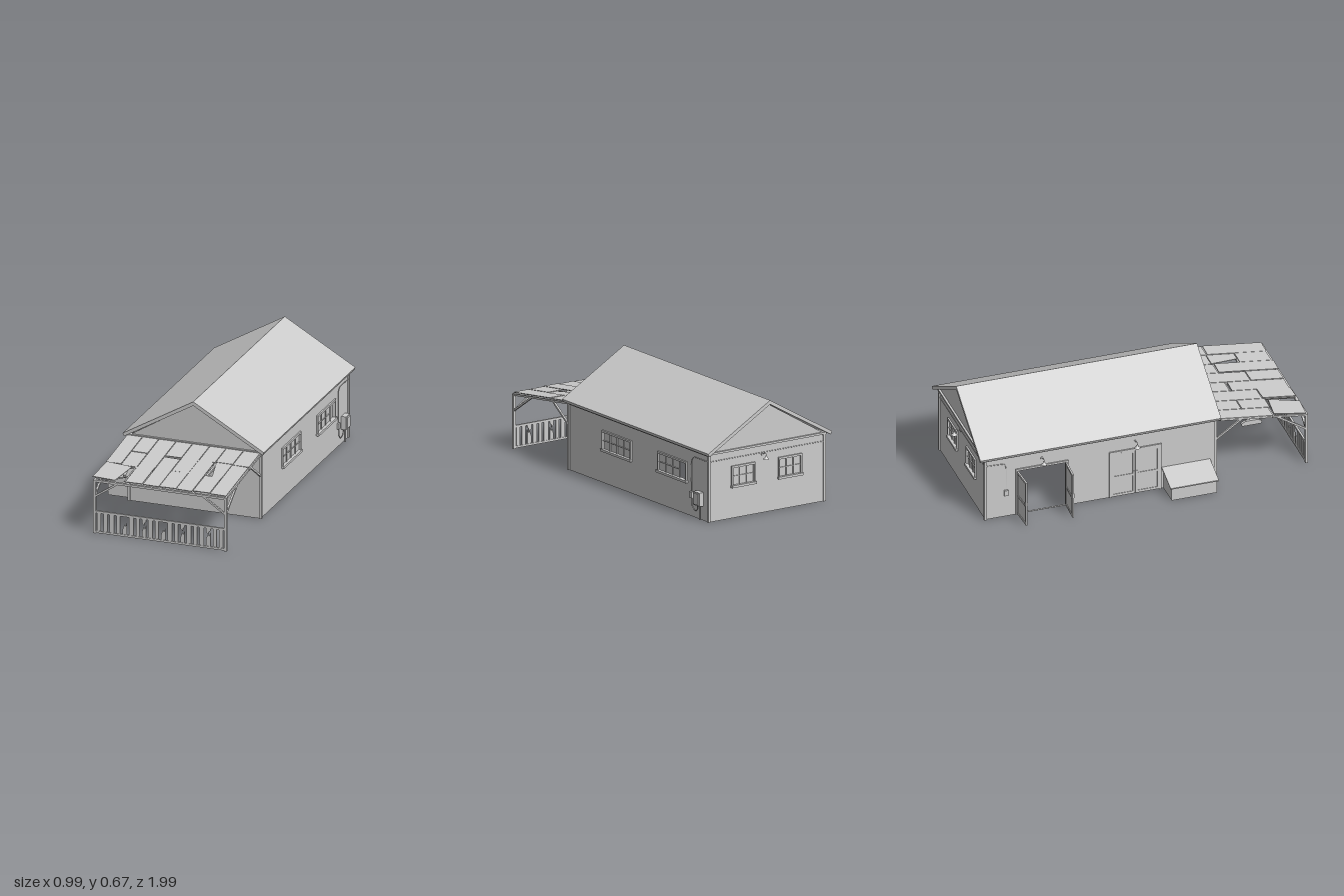
import * as THREE from 'three';

const mat = new THREE.MeshStandardMaterial({ color: 0xcccccc, flatShading: true, side: THREE.DoubleSide });
const smooth = new THREE.MeshStandardMaterial({ color: 0xcccccc, side: THREE.DoubleSide });

function add(parent, name, geo, x = 0, y = 0, z = 0, m = mat) {
  const mesh = new THREE.Mesh(geo, m);
  mesh.name = name;
  mesh.position.set(x, y, z);
  parent.add(mesh);
  return mesh;
}

// Box given by its min and max corners
function box(parent, name, x0, x1, y0, y1, z0, z1) {
  return add(parent, name, new THREE.BoxGeometry(x1 - x0, y1 - y0, z1 - z0), (x0 + x1) / 2, (y0 + y1) / 2, (z0 + z1) / 2);
}

// Square bar between two points
function bar(parent, name, a, b, t) {
  const p = new THREE.Vector3(...a), q = new THREE.Vector3(...b);
  const m = add(parent, name, new THREE.BoxGeometry(t, t, p.distanceTo(q)));
  m.position.copy(p).add(q).multiplyScalar(0.5);
  m.lookAt(q);
  return m;
}

function tube(parent, name, pts, r) {
  const path = new THREE.CatmullRomCurve3(pts.map(p => new THREE.Vector3(...p)), false, 'catmullrom', 0.2);
  return add(parent, name, new THREE.TubeGeometry(path, 24, r, 6), 0, 0, 0, smooth);
}

function extrude(points, depth, holes = []) {
  const shape = new THREE.Shape(points.map(p => new THREE.Vector2(...p)));
  for (const [a, b, c, d] of holes)
    shape.holes.push(new THREE.Path([[a, c], [a, d], [b, d], [b, c]].map(p => new THREE.Vector2(...p))));
  return new THREE.ExtrudeGeometry(shape, { depth, bevelEnabled: false });
}

// Wall in its own frame: u across, v up, outer face at w = 0
function wall(parent, name, points, holes, angle, x, z) {
  const g = new THREE.Group();
  g.name = name;
  g.rotation.y = angle;
  g.position.set(x, 0, z);
  parent.add(g);
  add(g, 'wallPanel', extrude(points, 0.012, holes), 0, 0, -0.012);
  return g;
}

function windowUnit(parent, [a, b, c, d], cols, missing = -1) {
  const g = new THREE.Group();
  g.name = 'window';
  parent.add(g);
  const f = 0.009, cell = (b - a) / cols, mid = (c + d) / 2;
  box(g, 'windowHead', a - f, b + f, d, d + f + 0.003, -0.008, 0.009);
  box(g, 'windowSill', a - f - 0.004, b + f + 0.004, c - 0.014, c, -0.008, 0.016);
  box(g, 'windowJamb', a - f, a, c, d, -0.008, 0.009);
  box(g, 'windowJamb', b, b + f, c, d, -0.008, 0.009);
  for (let i = 0; i < cols; i++) {
    const u = a + i * cell;
    if (i) box(g, 'mullion', u - 0.002, u + 0.002, c, d, -0.006, 0.003);
    if (i === missing) continue;
    box(g, 'glass', u, u + cell, c, d, -0.006, -0.003);
    box(g, 'glazingBar', u, u + cell, mid - 0.002, mid + 0.002, -0.006, 0.003);
  }
}

// Gooseneck lamp standing out from a wall
function lamp(parent, u, v) {
  const g = new THREE.Group();
  g.name = 'wallLamp';
  g.position.set(u, v, 0);
  parent.add(g);
  const plate = add(g, 'lampPlate', new THREE.CylinderGeometry(0.008, 0.008, 0.005, 12), 0, 0.01, 0.002, smooth);
  plate.rotation.x = Math.PI / 2;
  tube(g, 'lampArm', [[0, 0.01, 0], [0, 0.014, 0.015], [0, 0.024, 0.03], [0, 0.02, 0.04], [0, 0.008, 0.04]], 0.0018);
  const profile = [[0.003, 0.01], [0.006, 0.006], [0.008, -0.002], [0.018, -0.011]].map(p => new THREE.Vector2(...p));
  add(g, 'lampShade', new THREE.LatheGeometry(profile, 16), 0, 0, 0.04, smooth);
  add(g, 'bulb', new THREE.SphereGeometry(0.006, 10, 8), 0, -0.005, 0.04, smooth);
}

// Door leaf hinged at its origin, reaching along dir * u
function doorLeaf(parent, u, dir, angle) {
  const g = new THREE.Group(), w = 0.145, h = 0.283, s = 0.014;
  g.name = 'doorLeaf';
  g.position.set(u, 0.005, 0);
  g.rotation.y = angle;
  parent.add(g);
  const part = (n, a, b, c, d, t) => box(g, n, Math.min(a * dir, b * dir), Math.max(a * dir, b * dir), c, d, -t, t);
  part('doorPanel', 0, w, 0, h, 0.002);
  part('doorStile', 0, s, 0, h, 0.005);
  part('doorStile', w - s, w, 0, h, 0.005);
  for (const y of [0, 0.118, h - s]) part('doorRail', s, w - s, y, y + s, 0.005);
  part('doorHandle', w - 0.011, w - 0.005, 0.125, 0.15, 0.01);
}

function doorway(parent, centre, open) {
  const hw = 0.146, h = 0.29;
  for (const s of [-1, 1]) {
    const u = centre + s * (hw + 0.005);
    box(parent, 'doorJamb', u - 0.006, u + 0.006, 0, h, -0.014, 0.008);
    doorLeaf(parent, centre + s * hw, -s, open ? s * 1.52 : 0);
  }
  box(parent, 'doorHead', centre - hw - 0.011, centre + hw + 0.011, h, h + 0.012, -0.014, 0.008);
}

export function createModel() {
  const model = new THREE.Group();
  model.name = 'workshop';
  const L = -0.34, R = 0.46, F = 0.44, B = -0.94, H = 0.4, C = 0.06;

  // Gable walls with two windows each
  const gable = s => [[s * L, 0], [s * R, 0], [s * R, H], [s * C, 0.64], [s * L, H]];
  const endWin = [[-0.175, -0.03, 0.194, 0.296], [0.15, 0.295, 0.194, 0.296]];
  const front = wall(model, 'frontWall', gable(1), endWin, 0, 0, F);
  const backWin = endWin.map(([a, b, c, d]) => [-b, -a, c, d]);
  const back = wall(model, 'backWall', gable(-1), backWin, Math.PI, 0, B);
  endWin.forEach(w => windowUnit(front, w, 3));
  backWin.forEach(w => windowUnit(back, w, 3));
  lamp(back, -0.09, 0.335);

  // Right wall (model's left), long windows, one pane column missing
  const sideWin = [[-0.1, 0.17, 0.2, 0.298], [0.45, 0.72, 0.2, 0.298]];
  const east = wall(model, 'leftWall', [[-F, 0], [-B, 0], [-B, H], [-F, H]], sideWin, Math.PI / 2, R, 0);
  windowUnit(east, sideWin[0], 4);
  windowUnit(east, sideWin[1], 4, 3);

  // Wall with two double doors
  const doors = [-0.6, -0.04];
  const holes = doors.map(c => [c - 0.146, c + 0.146, 0.002, 0.29]);
  const west = wall(model, 'rightWall', [[B, 0], [F, 0], [F, H], [B, H]], holes, -Math.PI / 2, L, 0);
  doors.forEach((c, i) => { doorway(west, c, i === 0); lamp(west, c, 0.335); });

  // Corner boards and top trim
  for (const x of [L, R]) {
    for (const z of [F, B]) box(model, 'cornerBoard', x - 0.008, x + 0.008, 0, H, z - 0.008, z + 0.008);
    box(model, 'eaveTrim', x - 0.009, x + 0.009, 0.388, 0.406, B - 0.008, F + 0.008);
  }
  for (const z of [F, B]) box(model, 'gableTrim', L - 0.01, R + 0.01, 0.396, 0.408, z - 0.012, z + 0.012);

  // Roof slab, front to back
  const roof = [[-0.37, 0.415], [-0.362, 0.397], [C, 0.641], [0.482, 0.397], [0.49, 0.415], [C, 0.665]];
  add(model, 'roof', extrude(roof, 1.445), 0, 0, -0.978);

  // Electrical boxes and conduits
  box(east, 'meterBox', 0.83, 0.89, 0.085, 0.165, 0, 0.03);
  box(east, 'meterDoor', 0.836, 0.884, 0.092, 0.158, 0.03, 0.036);
  box(east, 'switchBox', 0.763, 0.787, 0.11, 0.145, 0, 0.012);
  tube(east, 'groundPipe', [[0.865, 0.09, 0.01], [0.865, 0.05, 0.01], [0.865, 0, 0.01]], 0.005);
  tube(east, 'cable', [[0.78, 0.11, 0.005], [0.783, 0.065, 0.005], [0.81, 0.04, 0.005], [0.838, 0.055, 0.008], [0.845, 0.09, 0.01]], 0.0025);
  tube(east, 'conduit', [[0.775, 0.145, 0.003], [0.775, 0.32, 0.003], [0.8, 0.355, 0.003], [0.94, 0.355, 0.003]], 0.0022);
  tube(back, 'conduit', [[-0.46, 0.355, 0.003], [-0.09, 0.355, 0.003], [0.34, 0.355, 0.003]], 0.0022);
  tube(west, 'conduit', [[-0.94, 0.355, 0.003], [-0.83, 0.35, 0.003], [-0.815, 0.32, 0.003], [-0.815, 0.17, 0.003]], 0.0022);
  box(west, 'switchBox', -0.827, -0.803, 0.14, 0.175, 0, 0.012);

  // Cellar hatch with sloping lid, open below
  for (const z of [0.13, 0.395]) add(model, 'hatchSide', extrude([[-0.485, 0], [L, 0], [L, 0.13], [-0.485, 0.083]], 0.006), 0, 0, z);
  box(model, 'hatchFront', -0.485, -0.479, 0, 0.083, 0.13, 0.401);
  add(model, 'hatchLid', extrude([[-0.497, 0.081], [L, 0.133], [L, 0.14], [-0.497, 0.088]], 0.29), 0, 0, 0.12);

  // Porch frame: posts, beams, rafters, braces
  const porch = new THREE.Group();
  porch.name = 'porch';
  model.add(porch);
  const roofY = z => 0.4 - (z - F) * 0.13;
  for (const s of [-1, 1]) {
    const x = C + s * 0.399, inner = C + s * 0.26;
    box(porch, 'post', x - 0.008, x + 0.008, 0, 0.322, 0.98, 0.996);
    bar(porch, 'postBrace', [x, 0.222, 0.988], [inner, 0.316, 0.988], 0.011);
    bar(porch, 'rafterBrace', [x, 0.225, 0.988], [x, 0.342, 0.81], 0.011);
    bar(porch, 'wallBrace', [x, 0.26, F], [x, 0.37, 0.6], 0.011);
  }
  box(porch, 'frontBeam', -0.347, 0.467, 0.312, 0.325, 0.98, 0.996);
  for (let i = 0; i < 5; i++) {
    const x = -0.339 + i * 0.1995;
    bar(porch, 'rafter', [x, roofY(F) - 0.009, F], [x, roofY(0.988) - 0.009, 0.988], 0.011);
  }
  for (const z of [0.63, 0.79]) box(porch, 'purlin', -0.347, 0.467, roofY(z) - 0.014, roofY(z) - 0.003, z - 0.006, z + 0.006);

  // Worn roof planks in eight columns; corners given as x, z
  const plank = (pts, lift = 0) => {
    const m = add(porch, 'roofPlank', extrude(pts.map(([x, z]) => [x, -(z - F)]), 0.004));
    m.rotation.x = -Math.PI / 2 + Math.atan(0.13);
    m.position.set(0, 0.4 + lift, F);
  };
  const rect = (x0, x1, z0, z1, skew = 0) => [[x0, z1], [x1, z1 + skew], [x1, z0 + skew], [x0, z0]];
  const edges = [-0.35, -0.255, -0.155, -0.05, 0.05, 0.155, 0.255, 0.36, 0.462];
  for (let i = 0; i < 8; i++) {
    const a = edges[i] + 0.002, b = edges[i + 1] - 0.002, cut = i % 2 ? 0.63 : 0.79, end = 0.985 + (i % 3) * 0.004;
    if (i === 6) {
      plank(rect(a, b, F, 0.62));
      plank([[a + 0.042, 0.79], [b, 0.79], [b, 0.624], [a + 0.004, 0.624]]);
      plank(rect(a, b, 0.794, end), 0.003);
    } else {
      plank(rect(a, b, F, cut - 0.003));
      if (i > 1) plank(rect(a, b, cut + (i === 3 ? 0.012 : 0.003), end, i % 2 ? 0.003 : -0.003), 0.002 * (i % 3));
      else if (i === 1) plank(rect(a, b, cut + 0.003, 0.8));
    }
  }
  plank([[-0.355, 0.985], [-0.215, 0.995], [-0.178, 0.815], [-0.34, 0.795]], 0.006);
  plank(rect(-0.165, -0.157, 0.8, 0.985), 0.001);

  // Railing with split pickets
  box(porch, 'topRail', -0.339, 0.459, 0.124, 0.137, 0.982, 0.994);
  box(porch, 'bottomRail', -0.339, 0.459, 0.003, 0.015, 0.982, 0.994);
  const n = 20, pitch = 0.782 / n, broken = [4, 7, 10, 13, 17];
  for (let i = 0; i < n; i++) {
    const w = 0.022 + 0.006 * ((i * 7) % 3) / 2, u = -0.331 + pitch * (i + 0.5) - w / 2;
    if (!broken.includes(i)) {
      box(porch, 'picket', u, u + w, 0.008, 0.13, 0.985, 0.991);
      continue;
    }
    const h = 0.045 + 0.012 * (i % 3);
    add(porch, 'brokenPicket', extrude([[u, 0.008], [u + w, 0.008], [u + w, h + 0.03], [u + w * 0.7, h + 0.008], [u + w * 0.4, h + 0.018], [u, h - 0.012]], 0.006), 0, 0, 0.985);
    if (i % 2) add(porch, 'brokenPicket', extrude([[u, 0.13], [u, 0.1], [u + w * 0.5, 0.085], [u + w * 0.7, 0.105], [u + w, 0.11], [u + w, 0.13]], 0.006), 0, 0, 0.985);
  }

  // Hanging light under the porch
  const light = add(porch, 'hangingLight', extrude([[-0.745, 0.262], [-0.63, 0.262], [-0.625, 0.278], [-0.65, 0.292], [-0.725, 0.292], [-0.75, 0.278]], 0.016), -0.258, 0, 0);
  light.rotation.y = Math.PI / 2;
  for (const z of [0.655, 0.715]) bar(porch, 'lightChain', [-0.25, 0.29, z], [-0.25, roofY(z), z], 0.003);

  return model;
}
